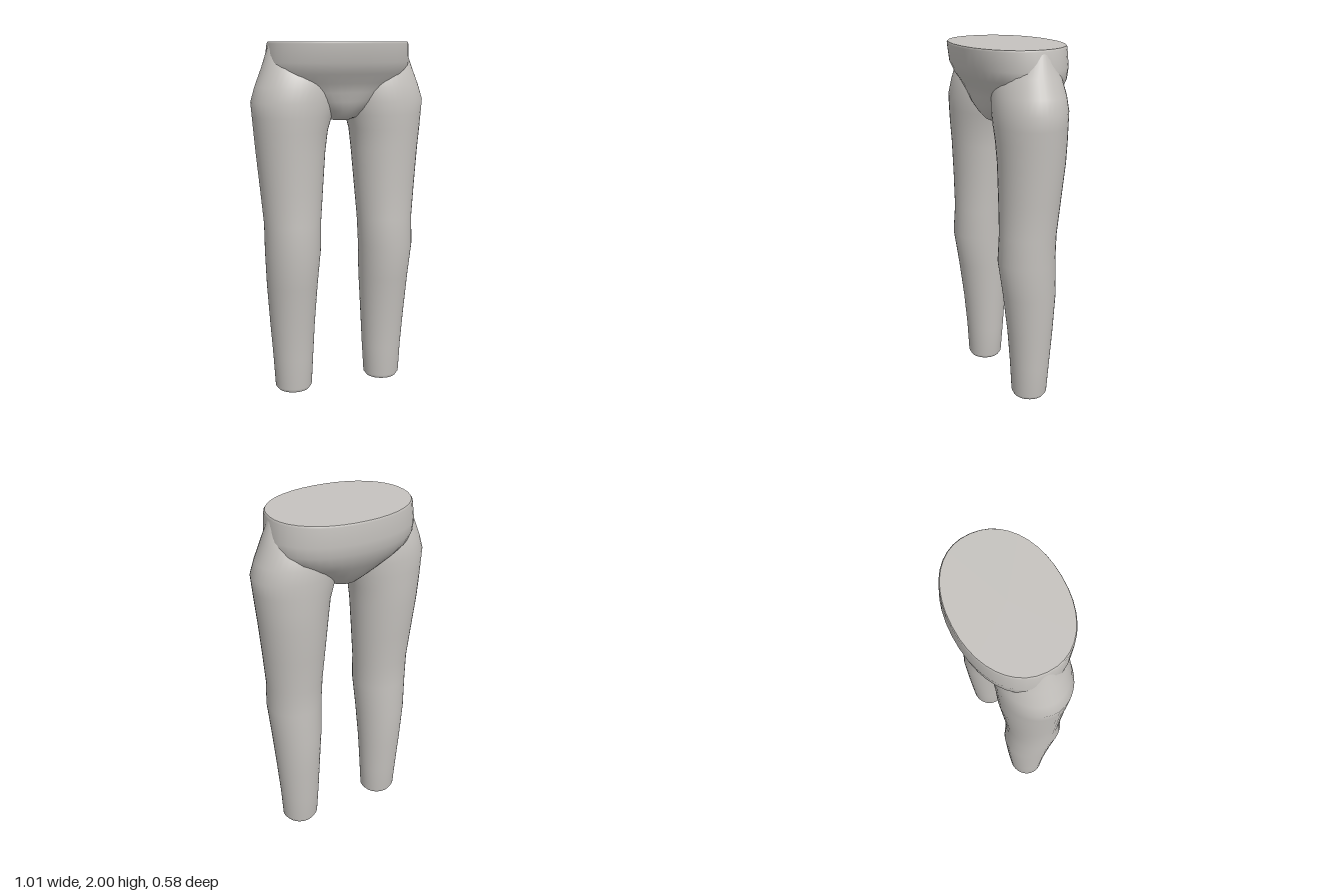
import * as THREE from 'three';

const SIDES = 40;

// Closed skin through rounded sections [y, xMin, xMax, zBack, zFront], listed bottom to top.
function loft(sections, power = 2) {
  const pos = [], idx = [];
  const round = (v) => Math.sign(v) * Math.pow(Math.abs(v), 2 / power);
  const addRing = ([y, x0, x1, z0, z1]) => {
    const start = pos.length / 3;
    for (let j = 0; j < SIDES; j++) {
      const a = (j / SIDES) * Math.PI * 2;
      pos.push((x0 + x1) / 2 + round(Math.cos(a)) * (x1 - x0) / 2, y,
        (z0 + z1) / 2 + round(Math.sin(a)) * (z1 - z0) / 2);
    }
    return start;
  };
  const rings = sections.map(addRing);
  for (let i = 0; i < rings.length - 1; i++) {
    for (let j = 0; j < SIDES; j++) {
      const k = (j + 1) % SIDES;
      const a = rings[i] + j, b = rings[i] + k, c = rings[i + 1] + j, d = rings[i + 1] + k;
      idx.push(a, c, b, b, c, d);
    }
  }
  // Flat caps with their own vertices, so the rims stay sharp
  [sections[0], sections[sections.length - 1]].forEach((s, top) => {
    const ring = addRing(s), centre = pos.length / 3;
    pos.push((s[1] + s[2]) / 2, s[0], (s[3] + s[4]) / 2);
    for (let j = 0; j < SIDES; j++) {
      const k = (j + 1) % SIDES;
      if (top) idx.push(centre, ring + k, ring + j);
      else idx.push(centre, ring + j, ring + k);
    }
  });
  const geo = new THREE.BufferGeometry();
  geo.setAttribute('position', new THREE.Float32BufferAttribute(pos, 3));
  geo.setIndex(idx);
  geo.computeVertexNormals();
  return geo;
}

export function createModel() {
  const model = new THREE.Group();
  model.name = 'trousers';
  const cloth = new THREE.MeshStandardMaterial({ color: 0xc6c3bf });
  cloth.name = 'warm grey cloth';

  // Leg from cuff through knee and thigh to the hip, narrowing inside the waist
  const leg = [
    [0.00, 0.19, 0.375, -0.09, 0.09],
    [0.02, 0.175, 0.39, -0.10, 0.10],
    [0.20, 0.165, 0.40, -0.115, 0.11],
    [0.40, 0.155, 0.415, -0.13, 0.127],
    [0.64, 0.14, 0.432, -0.145, 0.157],
    [0.84, 0.128, 0.445, -0.135, 0.187],
    [1.00, 0.122, 0.445, -0.14, 0.175],
    [1.20, 0.106, 0.462, -0.16, 0.177],
    [1.40, 0.09, 0.48, -0.18, 0.182],
    [1.52, 0.075, 0.491, -0.185, 0.19],
    [1.60, 0.05, 0.498, -0.188, 0.195],
    [1.68, 0.03, 0.505, -0.19, 0.198],
    [1.76, 0.02, 0.48, -0.186, 0.188],
    [1.86, 0.02, 0.441, -0.165, 0.165],
    [1.99, 0.05, 0.40, -0.08, 0.08],
  ];
  for (const side of [1, -1]) {
    const sections = leg.map(([y, a, b, back, front]) =>
      side > 0 ? [y, a, b, back, front] : [y, -b, -a, back, front]);
    const mesh = new THREE.Mesh(loft(sections), cloth);
    mesh.name = side > 0 ? 'leftLeg' : 'rightLeg';
    model.add(mesh);
  }

  // Waist and seat, tapering down to the crotch between the legs
  const pelvis = [
    [1.575, 0.06, -0.08, 0.08],
    [1.59, 0.10, -0.115, 0.115],
    [1.63, 0.16, -0.155, 0.15],
    [1.68, 0.24, -0.195, 0.175],
    [1.73, 0.32, -0.23, 0.187],
    [1.78, 0.375, -0.262, 0.208],
    [1.83, 0.405, -0.279, 0.243],
    [1.89, 0.413, -0.29, 0.273],
    [1.99, 0.402, -0.287, 0.29],
    [2.00, 0.395, -0.282, 0.286],
  ].map(([y, w, back, front]) => [y, -w, w, back, front]);
  const hips = new THREE.Mesh(loft(pelvis, 2.15), cloth);
  hips.name = 'hips';
  model.add(hips);

  return model;
}
